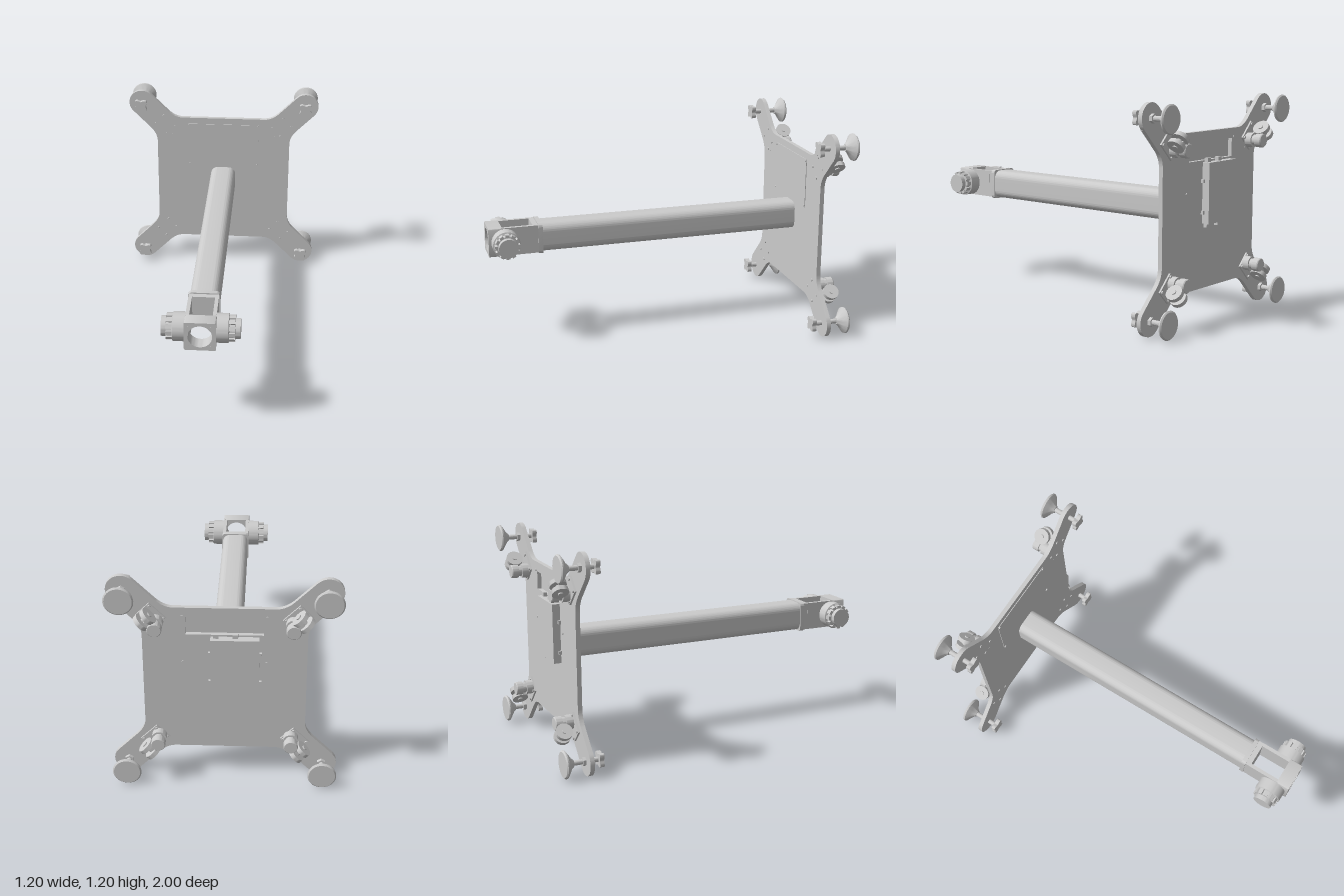
import * as THREE from 'three';
import { toCreasedNormals } from 'three/addons/utils/BufferGeometryUtils.js';

const grey = new THREE.MeshStandardMaterial({ color: 0xcccccc });
const MID = 0.6; // height of the tube axis

function add(parent, name, geometry, x = 0, y = 0, z = 0) {
  const mesh = new THREE.Mesh(geometry, grey);
  mesh.name = name;
  mesh.position.set(x, y, z);
  parent.add(mesh);
  return mesh;
}

// Box given by its limits
function block(parent, name, x0, x1, y0, y1, z0, z1) {
  return add(parent, name, new THREE.BoxGeometry(x1 - x0, y1 - y0, z1 - z0),
    (x0 + x1) / 2, (y0 + y1) / 2, (z0 + z1) / 2);
}

// Turned part along z, profile as [radius, z] with z rising
function turned(profile, sides = 40) {
  const g = new THREE.LatheGeometry(profile.map(p => new THREE.Vector2(...p)), sides);
  return toCreasedNormals(g.rotateX(Math.PI / 2), 0.5);
}

const rod = (r, z0, z1, sides = 24) => turned([[0, z0], [r, z0], [r, z1], [0, z1]], sides);

function extrude(shape, z0, z1, curveSegments = 16) {
  const g = new THREE.ExtrudeGeometry(shape, { depth: z1 - z0, bevelEnabled: false, curveSegments });
  return toCreasedNormals(g.translate(0, 0, z0), 0.5);
}

function roundedRect(w, h, r) {
  const s = new THREE.Shape(), x = w / 2 - r, y = h / 2 - r;
  s.absarc(x, y, r, 0, Math.PI / 2);
  s.absarc(-x, y, r, Math.PI / 2, Math.PI);
  s.absarc(-x, -y, r, Math.PI, Math.PI * 1.5);
  s.absarc(x, -y, r, Math.PI * 1.5, Math.PI * 2);
  s.closePath();
  return s;
}

// Square plate with four rounded diagonal arms and a window
function plateShape() {
  const s = new THREE.Shape();
  for (let k = 0; k < 4; k++) {
    const a = k * Math.PI / 2;
    const c = Math.round(Math.cos(a)), n = Math.round(Math.sin(a));
    const p = (u, v) => [u * c - v * n, u * n + v * c];
    if (k === 0) s.moveTo(...p(0.425, 0.26)); else s.lineTo(...p(0.425, 0.26));
    s.quadraticCurveTo(...p(0.425, 0.311), ...p(0.47, 0.356));
    s.lineTo(...p(0.577, 0.463));
    s.absarc(...p(0.52, 0.52), 0.08, a - Math.PI / 4, a + Math.PI * 0.75);
    s.lineTo(...p(0.356, 0.47));
    s.quadraticCurveTo(...p(0.311, 0.425), ...p(0.26, 0.425));
  }
  s.closePath();
  const w = new THREE.Path();
  w.moveTo(-0.2, 0.27).lineTo(-0.2, 0.37).lineTo(0.2, 0.37).lineTo(0.2, 0.27).closePath();
  s.holes.push(w);
  return s;
}

// Four-lobed hand knob
function knobShape() {
  const pts = [];
  for (let i = 0; i < 48; i++) {
    const t = i / 48 * Math.PI * 2, r = 0.039 - 0.009 * Math.cos(4 * t);
    pts.push(new THREE.Vector2(r * Math.cos(t), r * Math.sin(t)));
  }
  return new THREE.Shape(pts);
}

// Screw foot: knob in front, threaded stem, suction cup behind
function levellingFoot(x, y) {
  const g = new THREE.Group();
  g.name = 'levellingFoot';
  g.position.set(x, y, 0);
  add(g, 'knob', extrude(knobShape(), -0.805, -0.78));
  add(g, 'stem', rod(0.014, -0.96, -0.79));
  add(g, 'nut', rod(0.025, -0.893, -0.875, 6));
  add(g, 'cup', turned([[0, -1], [0.07, -1], [0.077, -0.993], [0.075, -0.985],
    [0.05, -0.968], [0.03, -0.955], [0.02, -0.942], [0, -0.942]]));
  return g;
}

// Twin-wheel caster; local x points outward along the diagonal
function caster(angle) {
  const g = new THREE.Group();
  g.name = 'caster';
  g.position.y = MID;
  g.rotation.z = angle;
  block(g, 'casterFlange', 0.465, 0.59, -0.05, 0.05, -0.885, -0.875);
  for (const x of [0.478, 0.577]) for (const y of [-0.038, 0.038])
    add(g, 'flangeBolt', rod(0.008, -0.893, -0.845, 12), x, y);
  add(g, 'casterHousing', turned([[0, -0.985], [0.034, -0.985], [0.038, -0.98], [0.038, -0.945],
    [0.03, -0.945], [0.03, -0.925], [0.04, -0.925], [0.04, -0.885], [0, -0.885]]), 0.495);
  block(g, 'wheelFork', 0.5, 0.56, -0.01, 0.01, -0.975, -0.9);
  for (const y of [-0.024, 0.024])
    add(g, 'wheel', toCreasedNormals(new THREE.CylinderGeometry(0.046, 0.046, 0.024, 32), 0.5), 0.562, y, -0.951);
  add(g, 'axle', new THREE.CylinderGeometry(0.014, 0.014, 0.084, 16), 0.562, 0, -0.951);
  return g;
}

// Motor with its axis pointing outward along local z
function motor(side) {
  const g = new THREE.Group();
  g.name = side > 0 ? 'leftMotor' : 'rightMotor';
  g.position.set(0, MID, 0.905);
  g.rotation.y = side * Math.PI / 2;
  add(g, 'motorBody', turned([[0, 0.062], [0.078, 0.062], [0.078, 0.145], [0.063, 0.15],
    [0.062, 0.178], [0.054, 0.18], [0.054, 0.207], [0, 0.207]], 48));
  for (let i = 0; i < 12; i++) {
    const a = i / 12 * Math.PI * 2;
    const fin = add(g, 'motorFin', new THREE.BoxGeometry(0.016, 0.022, 0.036),
      0.063 * Math.cos(a), 0.063 * Math.sin(a), 0.162);
    fin.rotation.z = a;
  }
  return g;
}

export function createModel() {
  const model = new THREE.Group();

  // Base plate with window cover
  add(model, 'basePlate', extrude(plateShape(), -0.875, -0.85), 0, MID);
  block(model, 'windowCover', -0.225, 0.225, 0.695, 0.985, -0.852, -0.846);
  for (const x of [-0.217, 0.217]) for (const y of [0.705, 0.975])
    add(model, 'coverScrew', rod(0.007, -0.88, -0.84, 12), x, y);
  for (const x of [-0.33, 0.33])
    add(model, 'plateScrew', rod(0.004, -0.877, -0.848, 10), x, 0.907);

  // Electronics box and its lugs on the back
  block(model, 'controlBox', -0.178, 0.073, 0.53, 0.86, -0.918, -0.875);
  for (const x of [-0.055, 0.045]) for (const y of [0.52, 0.87])
    block(model, 'boxLug', x - 0.014, x + 0.014, y - 0.012, y + 0.012, -0.897, -0.875);
  for (const x of [-0.183, 0.078]) for (const y of [0.59, 0.76])
    block(model, 'boxSideLug', x - 0.007, x + 0.007, y - 0.01, y + 0.01, -0.89, -0.875);

  // Feet and casters on the four arms
  for (const sx of [-1, 1]) for (const sy of [-1, 1]) {
    model.add(levellingFoot(0.52 * sx, MID + 0.52 * sy));
    model.add(caster(Math.atan2(sy, sx)));
  }

  // Long tube and end collar
  add(model, 'tube', extrude(roundedRect(0.158, 0.168, 0.045), -0.85, 0.7), 0, MID);
  add(model, 'collar', extrude(roundedRect(0.17, 0.178, 0.02), 0.69, 0.715), 0, MID);

  // Motor bracket, open above and below, with a round bore in front
  block(model, 'bracketBack', -0.08, 0.08, 0.52, 0.682, 0.71, 0.745);
  for (const s of [-1, 1])
    block(model, 'bracketSide', s * 0.071 - 0.01, s * 0.071 + 0.01, 0.52, 0.682, 0.74, 0.925);
  const face = roundedRect(0.166, 0.166, 0.008);
  const bore = new THREE.Path();
  bore.absarc(0, 0, 0.064, 0, Math.PI * 2, true);
  face.holes.push(bore);
  add(model, 'bracketFront', extrude(face, 0.92, 0.998, 24), 0, MID);
  for (const x of [-0.06, 0.06]) for (const y of [-0.06, 0.06])
    add(model, 'bracketScrew', rod(0.005, 0.99, 1, 12), x, MID + y);

  for (const side of [-1, 1]) model.add(motor(side));
  return model;
}
